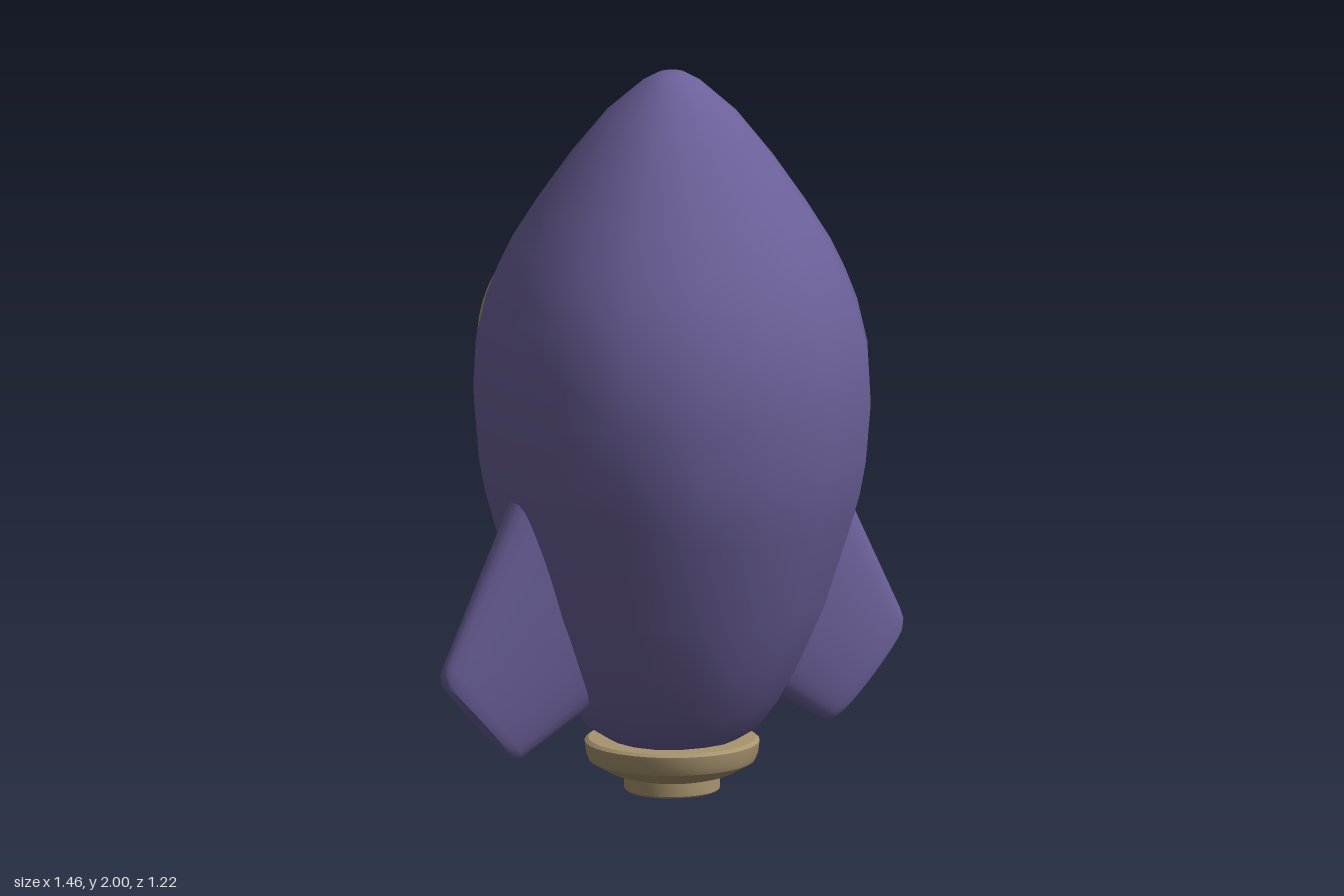
import * as THREE from 'three';
import { toCreasedNormals } from 'three/addons/utils/BufferGeometryUtils.js';

const PURPLE = 0x6b6099, TAN = 0xa8946f, TEAL = 0x5aa5b4;
const AXIS_Z = 0.08; // the hull sits slightly forward of the origin

function makeMesh(name, geometry, color) {
  const mesh = new THREE.Mesh(geometry, new THREE.MeshStandardMaterial({ color }));
  mesh.name = name;
  return mesh;
}

function lathe(points, segments) {
  return new THREE.LatheGeometry(points.map(([r, y]) => new THREE.Vector2(r, y)), segments);
}

// Hull: 16-sided body, a little fuller on the diagonals
function hullGeometry() {
  const geo = lathe([
    [0, 0.15], [0.17, 0.15], [0.225, 0.185], [0.283, 0.265], [0.342, 0.38], [0.407, 0.535], [0.477, 0.76],
    [0.502, 0.85], [0.518, 0.94], [0.531, 1.1], [0.524, 1.23], [0.497, 1.35], [0.465, 1.435], [0.425, 1.52],
    [0.358, 1.63], [0.27, 1.76], [0.172, 1.885], [0.075, 1.972], [0.035, 1.994], [0, 2],
  ], 16);
  const pos = geo.attributes.position;
  for (let i = 0; i < pos.count; i++) {
    const x = pos.getX(i), z = pos.getZ(i);
    const bulge = 1 + 0.045 * Math.sin(2 * Math.atan2(x, z)) ** 2;
    pos.setX(i, x * bulge);
    pos.setZ(i, z * bulge);
  }
  return toCreasedNormals(geo, 1);
}

// Tapered fin: a unit solid of revolution mapped onto a swept, blunt-edged section
function finGeometry() {
  const geo = lathe([[1, 0], [1, 0.25], [1, 0.5], [1, 0.75], [1, 0.93], [0.98, 0.975], [0.9, 1], [0, 1.01]], 32);
  const pos = geo.attributes.position;
  const lerp = THREE.MathUtils.lerp;
  for (let i = 0; i < pos.count; i++) {
    const u = pos.getX(i), t = pos.getY(i), w = pos.getZ(i);
    const topX = lerp(0.45, 0.738, t), topY = lerp(0.96, 0.39, t);
    const lowX = lerp(0.2, 0.5, t), lowY = lerp(0.305, 0.135, t);
    const s = (u + 1) / 2;
    const thickness = Math.sign(w) * Math.abs(w) ** 0.75 * lerp(0.095, 0.04, t);
    pos.setXYZ(i, lerp(topX, lowX, s), lerp(topY, lowY, s), thickness);
  }
  return toCreasedNormals(geo, 0.9);
}

// Window rim: flat front, back edge curving to follow the hull
function rimGeometry() {
  const geo = lathe([[0.225, -0.04], [0.3, -0.04], [0.3, -0.005], [0.295, 0], [0.235, 0], [0.225, -0.04]], 48);
  const pos = geo.attributes.position;
  for (let i = 0; i < pos.count; i++) {
    if (pos.getY(i) < -0.03) {
      const side = pos.getX(i) / 0.3;
      pos.setY(i, -0.04 - 0.045 * side * side);
    }
  }
  return toCreasedNormals(geo, 0.6);
}

export function createModel() {
  const rocket = new THREE.Group();
  rocket.name = 'rocket';

  const hull = makeMesh('hull', hullGeometry(), PURPLE);
  hull.position.z = AXIS_Z;
  rocket.add(hull);

  // Engine collar and nozzle
  const nozzleProfile = [
    [0, 0.005], [0.125, 0.005], [0.13, 0.01], [0.13, 0.046], [0.165, 0.056], [0.18, 0.063],
    [0.226, 0.09], [0.234, 0.11], [0.238, 0.142], [0.228, 0.15], [0, 0.152],
  ];
  const nozzle = makeMesh('nozzle', toCreasedNormals(lathe(nozzleProfile, 32), 0.6), TAN);
  nozzle.position.z = AXIS_Z;
  rocket.add(nozzle);

  // Side fins
  const fin = finGeometry();
  for (const [name, turn] of [['leftFin', 0], ['rightFin', Math.PI]]) {
    const mesh = makeMesh(name, fin, PURPLE);
    mesh.position.z = AXIS_Z;
    mesh.rotation.y = turn;
    rocket.add(mesh);
  }

  // Round window on the back, tilted slightly upward
  const porthole = new THREE.Group();
  porthole.name = 'window';
  porthole.position.set(-0.005, 1.218, -0.44);
  porthole.rotation.x = 0.107 - Math.PI / 2;
  porthole.add(makeMesh('windowRim', rimGeometry(), TAN));
  const dome = makeMesh('windowDome', new THREE.SphereGeometry(0.235, 40, 24), TEAL);
  dome.position.y = -0.065;
  porthole.add(dome);
  rocket.add(porthole);

  return rocket;
}
